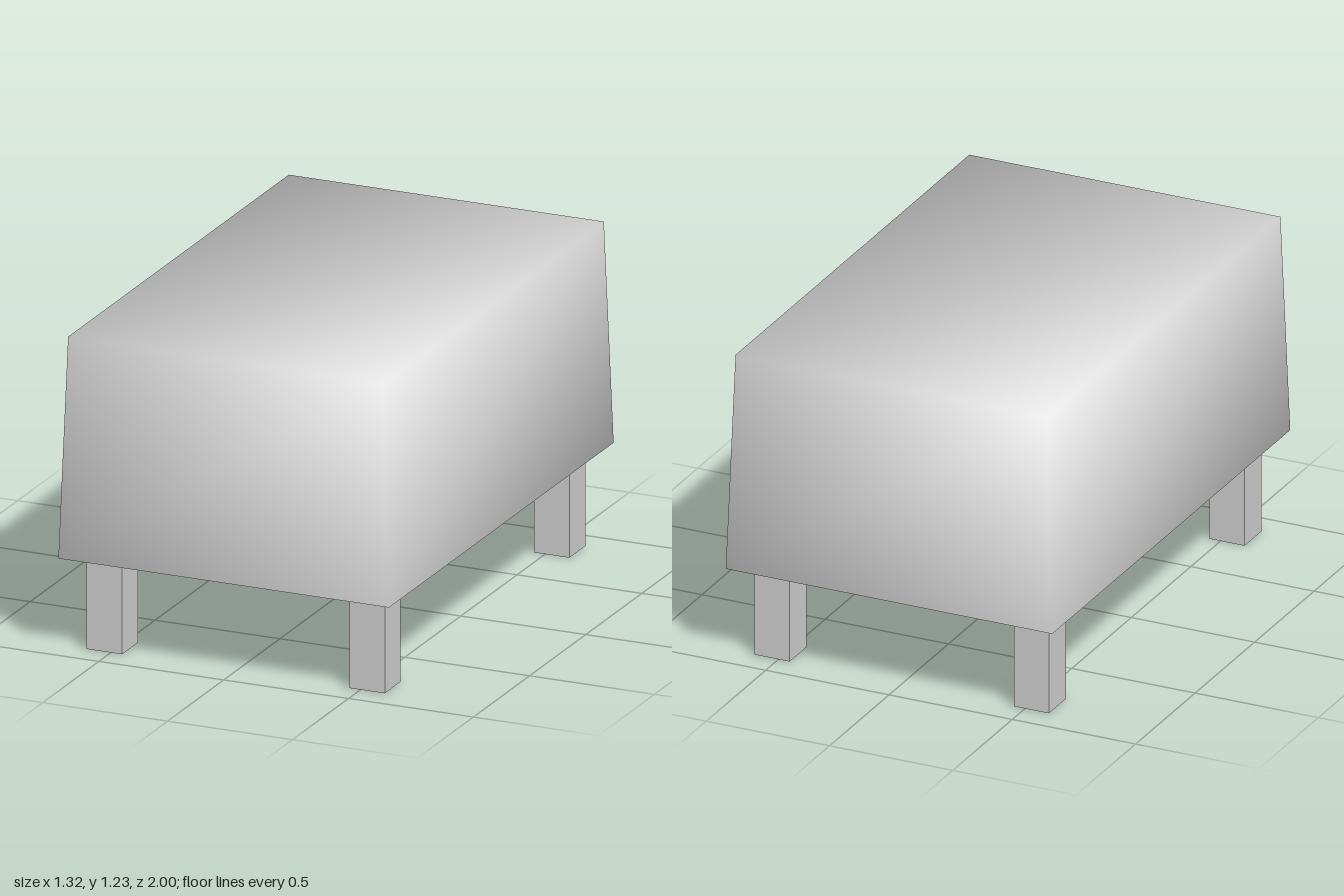
import * as THREE from 'three';
import { mergeVertices } from 'three/addons/utils/BufferGeometryUtils.js';

const grey = new THREE.MeshStandardMaterial({ color: 0xcccccc });
const clothGrey = new THREE.MeshStandardMaterial({ color: 0xcccccc, side: THREE.DoubleSide });

function box(name, w, h, d, x, y, z) {
  const mesh = new THREE.Mesh(new THREE.BoxGeometry(w, h, d), grey);
  mesh.name = name;
  mesh.position.set(x, y, z);
  return mesh;
}

// Open-bottomed cover, slightly flared, with normals shared round the corners
function createCloth(bottom, top) {
  const box = new THREE.BoxGeometry(1, top - bottom, 1);
  const index = Array.from(box.index.array);
  index.splice(18, 6); // drop the bottom face
  box.setIndex(index);
  box.clearGroups();
  box.deleteAttribute('uv');
  box.deleteAttribute('normal');
  const geometry = mergeVertices(box);
  const p = geometry.attributes.position;
  for (let i = 0; i < p.count; i++) {
    const upper = p.getY(i) > 0;
    p.setX(i, Math.sign(p.getX(i)) * (upper ? 0.631 : 0.662));
    p.setZ(i, Math.sign(p.getZ(i)) * (upper ? 0.982 : 1));
  }
  geometry.computeVertexNormals();
  const mesh = new THREE.Mesh(geometry, clothGrey);
  mesh.name = 'tablecloth';
  mesh.position.y = (bottom + top) / 2;
  return mesh;
}

export function createModel() {
  const model = new THREE.Group();
  model.name = 'coveredTable';
  model.add(createCloth(0.375, 1.232));

  // Table hidden under the cloth
  model.add(box('tabletop', 1.22, 0.08, 1.82, 0, 1.18, 0));
  for (const [side, sx] of [['Left', 1], ['Right', -1]]) {
    for (const [end, sz] of [['front', 1], ['back', -1]]) {
      model.add(box(end + side + 'Leg', 0.142, 1.14, 0.142, sx * 0.526, 0.57, sz * 0.822));
    }
  }
  return model;
}
